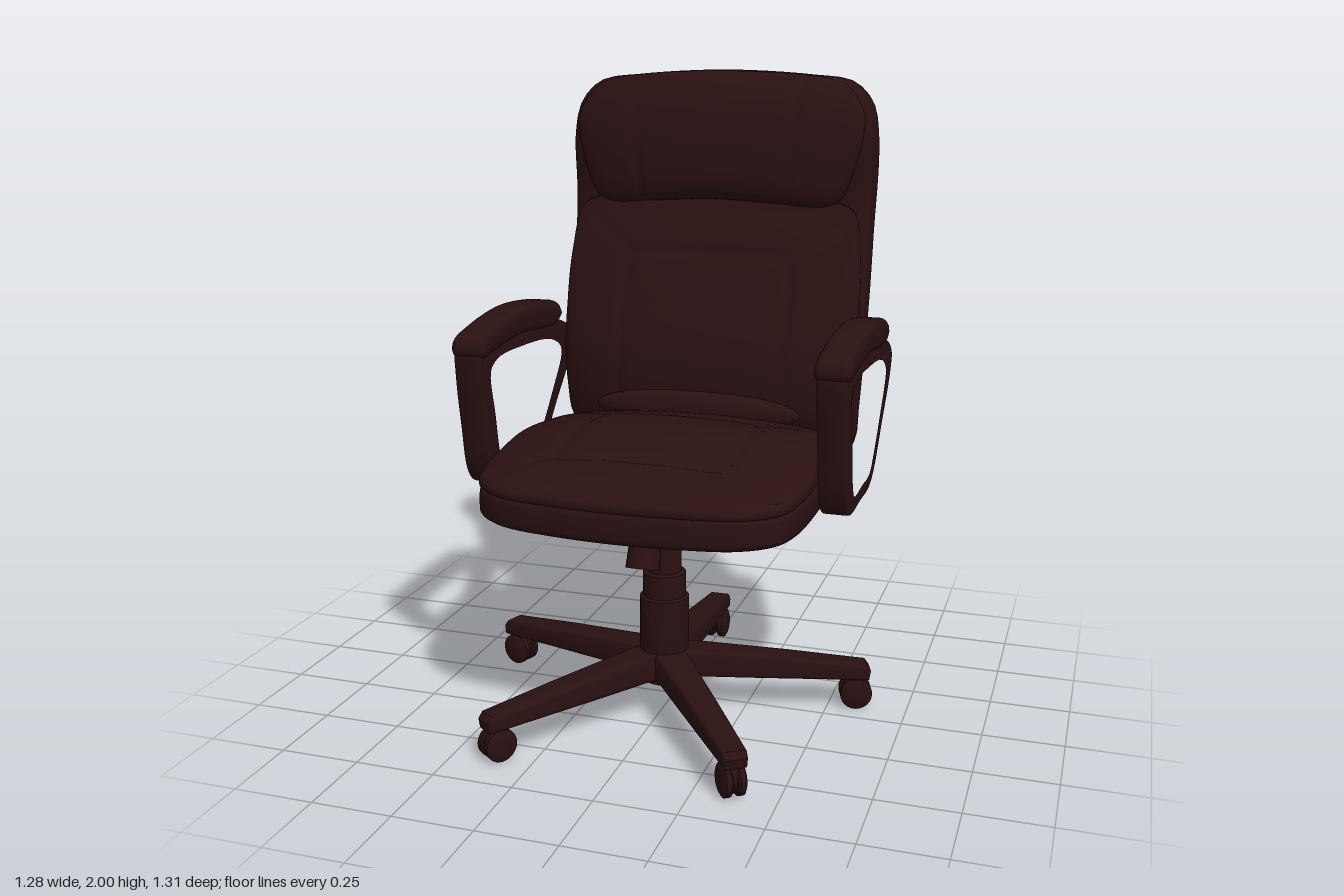
import * as THREE from 'three';
import { toCreasedNormals, mergeVertices } from 'three/addons/utils/BufferGeometryUtils.js';

const leather = new THREE.MeshStandardMaterial({ color: 0x2a1011 });
leather.name = 'dark brown leather';

function add(parent, name, geometry) {
  const mesh = new THREE.Mesh(geometry, leather);
  mesh.name = name;
  parent.add(mesh);
  return mesh;
}

// Smooth curve through [position, value] pairs
function profile(pairs) {
  const curve = new THREE.CubicInterpolant(pairs.map(p => p[0]), pairs.map(p => p[1]), 1);
  return v => curve.evaluate(v)[0];
}

// Stitched crease; d is the distance from the seam
const crease = (d, depth = 0.012, width = 0.013) => depth * Math.exp(-((d / width) ** 2));

// Distance from the edge of a rectangular panel with rounded corners
function panelEdge(u, v, cu, cv, hu, hv, r = 0.05) {
  const a = Math.abs(u - cu) - hu + r, b = Math.abs(v - cv) - hv + r;
  return Math.hypot(Math.max(a, 0), Math.max(b, 0)) + Math.min(Math.max(a, b), 0) - r;
}

// Upholstered pad in the u,v plane: mirrored outline, front and back height rules, rounded rim
function pad(half, front, back, power = 6, rings = 34, segs = 112) {
  const mirror = half.filter(p => p[0] > 0).map(p => [-p[0], p[1]]).reverse();
  const curve = new THREE.CatmullRomCurve3(
    [...half, ...mirror].map(p => new THREE.Vector3(p[0], p[1], 0)), true, 'centripetal');
  const rim = curve.getSpacedPoints(segs).slice(0, segs);
  const vs = half.map(p => p[1]);
  const cv = (Math.max(...vs) + Math.min(...vs)) / 2;
  const pos = [], idx = [];
  const rows = rings * 2 + 1;
  for (let i = 0; i < rows; i++) {
    const s = 1 - Math.abs(i - rings) / rings;
    const t = 1 - (1 - s) ** 1.7;
    const puff = Math.max(0, 1 - t ** power) ** (1 / power * 1.5);
    for (const p of rim) {
      const u = p.x * t, v = cv + (p.y - cv) * t;
      const f = front(u, v), b = back(u, v), mid = (f + b) / 2;
      pos.push(u, v, mid + ((i < rings ? f : b) - mid) * puff);
    }
  }
  for (let i = 0; i < rows - 1; i++) for (let j = 0; j < segs; j++) {
    const a = i * segs + j, b = i * segs + (j + 1) % segs, c = a + segs, d = b + segs;
    // the outline runs clockwise
    idx.push(a, b, c, b, d, c);
  }
  const g = new THREE.BufferGeometry();
  g.setAttribute('position', new THREE.Float32BufferAttribute(pos, 3));
  g.setIndex(idx);
  const merged = mergeVertices(g, 1e-5);
  merged.computeVertexNormals();
  return merged;
}

// Side silhouette in (z, y), extruded across x and centred, with rounded edges
function sideExtrude(points, width, bevel, hole, smooth = true) {
  const vec = list => list.map(p => new THREE.Vector2(p[0], p[1]));
  const round = list => smooth
    ? new THREE.CatmullRomCurve3(list.map(p => new THREE.Vector3(p[0], p[1], 0)), true, 'centripetal')
      .getPoints(list.length * 5).slice(0, -1).map(p => new THREE.Vector2(p.x, p.y))
    : vec(list);
  const shape = new THREE.Shape(round(points));
  if (hole) shape.holes.push(new THREE.Path(round(hole)));
  const depth = width - bevel * 2;
  const g = new THREE.ExtrudeGeometry(shape, {
    depth, bevelEnabled: true, bevelSize: bevel, bevelThickness: bevel, bevelOffset: -bevel, bevelSegments: 4,
  });
  g.translate(0, 0, -depth / 2).rotateY(-Math.PI / 2);
  return toCreasedNormals(g, 0.7);
}

function buildSeat(chair) {
  const outline = [[0, 0.34], [0.4, 0.335], [0.485, 0.28], [0.505, 0.1], [0.505, -0.1], [0.492, -0.36],
    [0.46, -0.46], [0.37, -0.53], [0.2, -0.565], [0, -0.578]];
  // v is -z here
  const top = profile([[-0.58, 0.835], [-0.5, 0.865], [-0.4, 0.885], [-0.25, 0.912], [-0.1, 0.935], [0.1, 0.92], [0.34, 0.885]]);
  const cushionTop = (u, v) => {
    const d = panelEdge(u, v, 0, -0.125, 0.27, 0.23);
    const x = Math.abs(u);
    const corner = x > 0.26 && x < 0.45 && d > 0
      ? crease(Math.min(Math.abs(v + 0.34 + (x - 0.25) * 0.5), Math.abs(v - 0.09 - (x - 0.25) * 0.75)), 0.007) : 0;
    return top(v) - 0.16 * u * u - crease(d, 0.009) - corner;
  };
  add(chair, 'seatCushion', pad(outline, cushionTop, () => 0.775, 5).rotateX(-Math.PI / 2));
  const under = profile([[-0.58, 0.68], [-0.3, 0.688], [0, 0.7], [0.34, 0.715]]);
  add(chair, 'seatBase', pad(outline, () => 0.815, (u, v) => under(v), 7).rotateX(-Math.PI / 2));
}

function buildBack(chair) {
  // Outer shell
  const shellFront = profile([[0.72, -0.37], [1, -0.365], [1.3, -0.42], [1.6, -0.465], [1.8, -0.455], [2, -0.49]]);
  const shellBack = profile([[0.72, -0.525], [1, -0.525], [1.2, -0.547], [1.4, -0.597], [1.6, -0.642], [1.8, -0.652], [2, -0.645]]);
  const shell = [[0, 2], [0.3, 1.985], [0.43, 1.965], [0.495, 1.9], [0.517, 1.8], [0.515, 1.5], [0.515, 1.2],
    [0.5, 0.9], [0.485, 0.77], [0.44, 0.735], [0, 0.72]];
  add(chair, 'backShell', pad(shell, (u, v) => shellFront(v),
    (u, v) => shellBack(v) + crease(panelEdge(u, v, 0, 1.36, 0.46, 0.58), 0.007), 8));

  // Lumbar cushion with a sewn centre panel
  const lumbarFront = profile([[0.8, -0.255], [0.95, -0.235], [1.1, -0.245], [1.25, -0.295], [1.4, -0.355], [1.5, -0.4], [1.6, -0.45]]);
  const lumbar = [[0, 1.585], [0.38, 1.585], [0.47, 1.55], [0.5, 1.4], [0.505, 1.2], [0.495, 0.95], [0.47, 0.82], [0.38, 0.8], [0, 0.8]];
  add(chair, 'lumbarCushion', pad(lumbar, (u, v) => {
    const x = Math.abs(u), d = panelEdge(u, v, 0, 1.15, 0.28, 0.26);
    const corner = x > 0.27 && x < 0.44 && d > 0 ? crease(v - 1.4 - (x - 0.27) * 0.8, 0.008) : 0;
    return lumbarFront(v) - 0.15 * u * u - crease(d, 0.01) - corner;
  }, () => -0.45, 5));
  const roll = add(chair, 'lumbarRoll', new THREE.SphereGeometry(1, 40, 20));
  roll.scale.set(0.35, 0.065, 0.045);
  roll.position.set(0, 0.905, -0.245);

  // Headrest
  const headFront = profile([[1.55, -0.4], [1.65, -0.392], [1.8, -0.402], [1.9, -0.43], [2, -0.49]]);
  const head = [[0, 1.995], [0.28, 1.985], [0.42, 1.955], [0.485, 1.87], [0.49, 1.8], [0.455, 1.66], [0.42, 1.585], [0.37, 1.562], [0.2, 1.57], [0, 1.58]];
  add(chair, 'headrest', pad(head, (u, v) =>
    headFront(v) - 0.12 * u * u - crease(Math.abs(u) - 0.25 - (v - 1.57) * 0.08, 0.007), () => -0.53, 5));
}

function buildArm(chair, side) {
  const arm = new THREE.Group();
  arm.name = side > 0 ? 'leftArm' : 'rightArm';
  const outer = [[0.3, 1.17], [0.302, 1.09], [0.275, 0.92], [0.245, 0.78], [0.2, 0.732], [0.05, 0.728], [-0.1, 0.73],
    [-0.18, 0.765], [-0.3, 0.885], [-0.43, 1.02], [-0.46, 1.09], [-0.43, 1.125], [-0.33, 1.165], [0, 1.195], [0.2, 1.185]];
  const inner = [[0.245, 1.1], [0.22, 0.95], [0.19, 0.81], [0.16, 0.768], [0.03, 0.764], [-0.1, 0.768], [-0.16, 0.81],
    [-0.27, 0.93], [-0.35, 1.035], [-0.345, 1.075], [-0.26, 1.12], [0, 1.145], [0.19, 1.138]];
  add(arm, 'armLoop', sideExtrude(outer, 0.09, 0.012, inner));
  const padSide = [[0.31, 1.165], [0.3, 1.205], [0.2, 1.235], [0, 1.26], [-0.2, 1.25], [-0.32, 1.225], [-0.345, 1.185],
    [-0.3, 1.155], [0, 1.17], [0.2, 1.155], [0.29, 1.145]];
  add(arm, 'armPad', sideExtrude(padSide, 0.11, 0.025));
  arm.position.x = side * 0.563;
  chair.add(arm);
}

function buildBase(chair) {
  const base = new THREE.Group();
  base.name = 'starBase';
  base.position.z = 0.1;
  chair.add(base);

  // Gas column
  const column = [[0, 0.1], [0.07, 0.1], [0.078, 0.13], [0.078, 0.38], [0.068, 0.385], [0.068, 0.46], [0.054, 0.465], [0.054, 0.68], [0, 0.68]];
  add(base, 'column', toCreasedNormals(new THREE.LatheGeometry(column.map(p => new THREE.Vector2(...p)), 32), 0.6));

  // Five tapered legs with twin-wheel casters, one pointing straight back
  const legSide = [[0, 0.115], [0.1, 0.12], [0.3, 0.112], [0.655, 0.1], [0.66, 0.13], [0.645, 0.15], [0.4, 0.178], [0.1, 0.207], [0, 0.21]];
  for (let i = 0; i < 5; i++) {
    const leg = new THREE.Group();
    leg.name = 'leg' + (i + 1);
    leg.rotation.y = Math.PI + i * Math.PI * 2 / 5;
    base.add(leg);
    const g = sideExtrude(legSide, 0.11, 0.012, null, false);
    const p = g.attributes.position;
    for (let k = 0; k < p.count; k++) p.setX(k, p.getX(k) * (1 - 0.5 * p.getZ(k)));
    add(leg, 'legArm', toCreasedNormals(g, 0.6));
    const stem = add(leg, 'casterStem', new THREE.CylinderGeometry(0.016, 0.016, 0.07, 12));
    stem.position.set(0, 0.085, 0.615);
    for (const s of [-1, 1]) {
      const wheelSide = [[0, -0.014], [0.045, -0.014], [0.051, -0.008], [0.051, 0.008], [0.04, 0.014], [0, 0.016]];
      const wheel = add(leg, 'casterWheel', toCreasedNormals(
        new THREE.LatheGeometry(wheelSide.map(q => new THREE.Vector2(...q)), 24), 0.6));
      wheel.rotation.z = -s * Math.PI / 2;
      wheel.position.set(s * 0.021, 0.051, 0.615);
    }
    const hood = add(leg, 'casterHood', new THREE.CylinderGeometry(0.04, 0.04, 0.02, 20));
    hood.rotation.z = Math.PI / 2;
    hood.position.set(0, 0.06, 0.615);
  }
}

// Cylinder between two points
function rod(parent, name, from, to, r1, r2, segs = 20) {
  const a = new THREE.Vector3(...from), b = new THREE.Vector3(...to);
  const mesh = add(parent, name, new THREE.CylinderGeometry(r2, r1, a.distanceTo(b), segs));
  mesh.position.copy(a).add(b).multiplyScalar(0.5);
  mesh.quaternion.setFromUnitVectors(new THREE.Vector3(0, 1, 0), b.sub(a).normalize());
  return mesh;
}

function buildMechanism(chair) {
  const plate = [[0.2, 0.72], [0.14, 0.655], [-0.07, 0.655], [-0.22, 0.705], [-0.22, 0.72]];
  add(chair, 'tiltPlate', sideExtrude(plate, 0.38, 0.004, null, false));
  // Tension knob
  rod(chair, 'tensionKnob', [0.005, 0.545, 0.325], [0.005, 0.665, 0.285], 0.052, 0.045);
  rod(chair, 'knobShaft', [0.005, 0.65, 0.29], [0.005, 0.72, 0.267], 0.018, 0.018);
  // Height lever
  const path = new THREE.CatmullRomCurve3([[-0.12, 0.705, -0.02], [-0.3, 0.658, -0.1], [-0.49, 0.605, -0.185],
    [-0.52, 0.575, -0.21], [-0.55, 0.52, -0.24]].map(p => new THREE.Vector3(...p)), false, 'centripetal');
  add(chair, 'leverRod', new THREE.TubeGeometry(path, 30, 0.007, 8));
  const paddle = rod(chair, 'leverPaddle', [-0.6, 0.435, -0.285], [-0.535, 0.55, -0.225], 0.04, 0.014);
  paddle.scale.x = 0.3;
}

export function createModel() {
  const chair = new THREE.Group();
  chair.name = 'officeChair';
  buildSeat(chair);
  buildBack(chair);
  for (const side of [-1, 1]) buildArm(chair, side);
  buildMechanism(chair);
  buildBase(chair);
  return chair;
}
